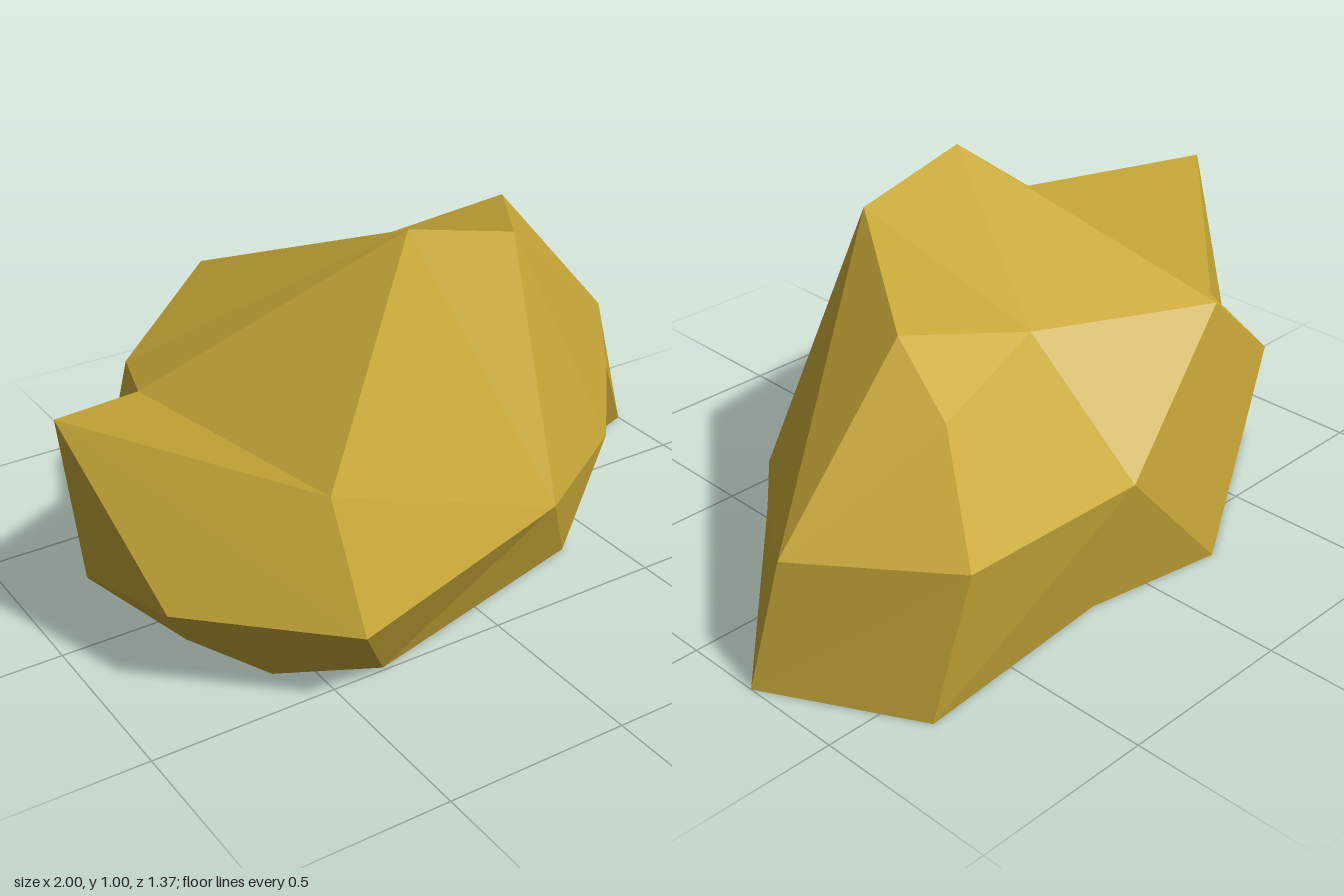
import * as THREE from 'three';

// Corners of the boulder: capitals are above ground, small letters form the open ground rim.
const corners = {
  // crest
  E: [-0.05, 1, 0.15], F: [0.28, 0.92, 0.15], G: [0.57, 0.82, -0.29], T: [0.225, 0.74, -0.385],
  N: [-0.265, 0.71, -0.565], S: [0.6, 0.675, -0.48],
  // jutting side and its saddle
  A: [-1, 0.72, 0.095], B: [-0.535, 0.59, 0.558], U: [-0.61, 0.52, -0.285],
  // belt
  M: [-0.525, 0.48, -0.54], P: [0.14, 0.39, -0.66], Q: [0.725, 0.425, -0.687], H: [0.955, 0.38, -0.29],
  L: [0.77, 0.32, -0.02], J: [0.573, 0.265, 0.222], K: [0.22, 0.26, 0.445],
  C: [-0.52, 0.265, 0.685], D: [-0.87, 0.275, 0.36],
  // ground rim
  i: [1, 0, -0.215], r: [0.78, 0, -0.615], w: [0.175, 0, -0.567], o: [-0.225, 0, -0.635], v: [-0.795, 0, -0.295],
  p: [-0.705, 0, 0.11], q: [-0.595, 0, 0.36], s: [-0.35, 0, 0.49], t: [0.37, 0, 0.3], u: [0.465, 0, -0.035],
};

// Each fan is a hub corner followed by its neighbours, counterclockwise from outside.
const fans = [
  'EBKFTNMUB', 'FKJLHGT', 'TGSQPN', // crest
  'AvDCBUv', 'MNovU', // jutting side
  'HLiQSG', 'PQrwoN', 'Qir', // back
  'KBCstJ', 'DvpqC', 'Cqs', 'uiLJt', // undercut front
];

export function createModel() {
  const group = new THREE.Group();
  group.name = 'boulder';

  const ochre = new THREE.MeshStandardMaterial({ color: 0xc8a838, flatShading: true, side: THREE.DoubleSide });
  ochre.name = 'ochre stone';

  const positions = [];
  for (const [hub, ...ring] of fans) {
    for (let k = 0; k < ring.length - 1; k++) {
      positions.push(...corners[hub], ...corners[ring[k]], ...corners[ring[k + 1]]);
    }
  }
  const geometry = new THREE.BufferGeometry();
  geometry.setAttribute('position', new THREE.Float32BufferAttribute(positions, 3));
  geometry.computeVertexNormals();

  const shell = new THREE.Mesh(geometry, ochre);
  shell.name = 'rockShell';
  group.add(shell);
  return group;
}
